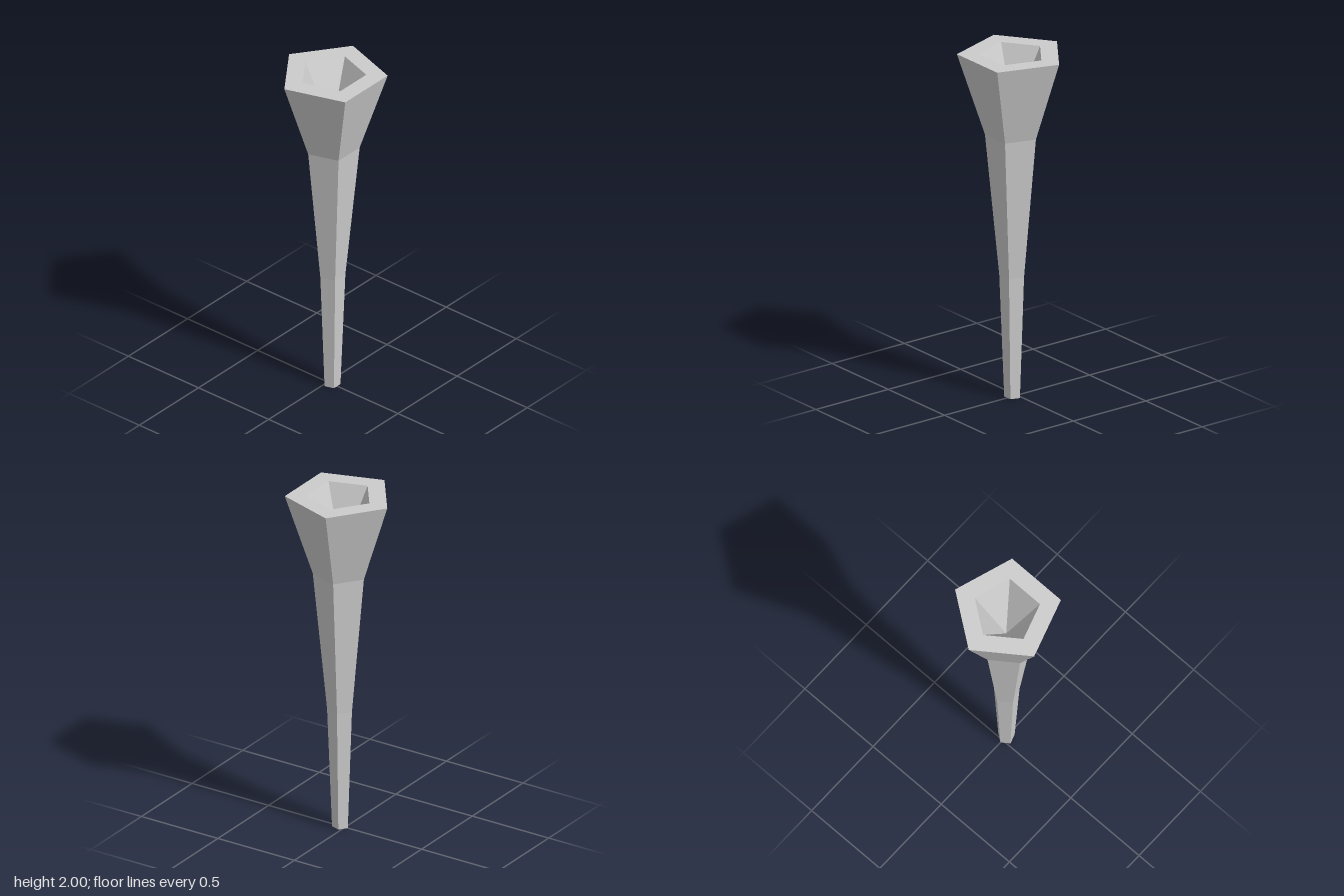
import * as THREE from 'three';

export function createModel() {
  const group = new THREE.Group();
  group.name = 'flaredHorn';
  const material = new THREE.MeshStandardMaterial({ color: 0xcccccc, flatShading: true });

  // Pentagonal sweep of [radius, height], from the base recess up and over into the mouth
  const profile = [
    [0, 0.05], [0.028, 0], // small recess under the foot
    [0.047, 0], [0.074, 0.71], [0.152, 1.53], [0.305, 2], // flared outer wall
    [0.188, 2], [0, 1.64], // flat rim and pointed hollow
  ].map(([r, y]) => new THREE.Vector2(r, y));

  // One corner points to the back, a flat side faces the front
  const horn = new THREE.Mesh(new THREE.LatheGeometry(profile, 5, Math.PI), material);
  horn.name = 'hornBody';
  horn.position.z = 0.029;
  group.add(horn);
  return group;
}
